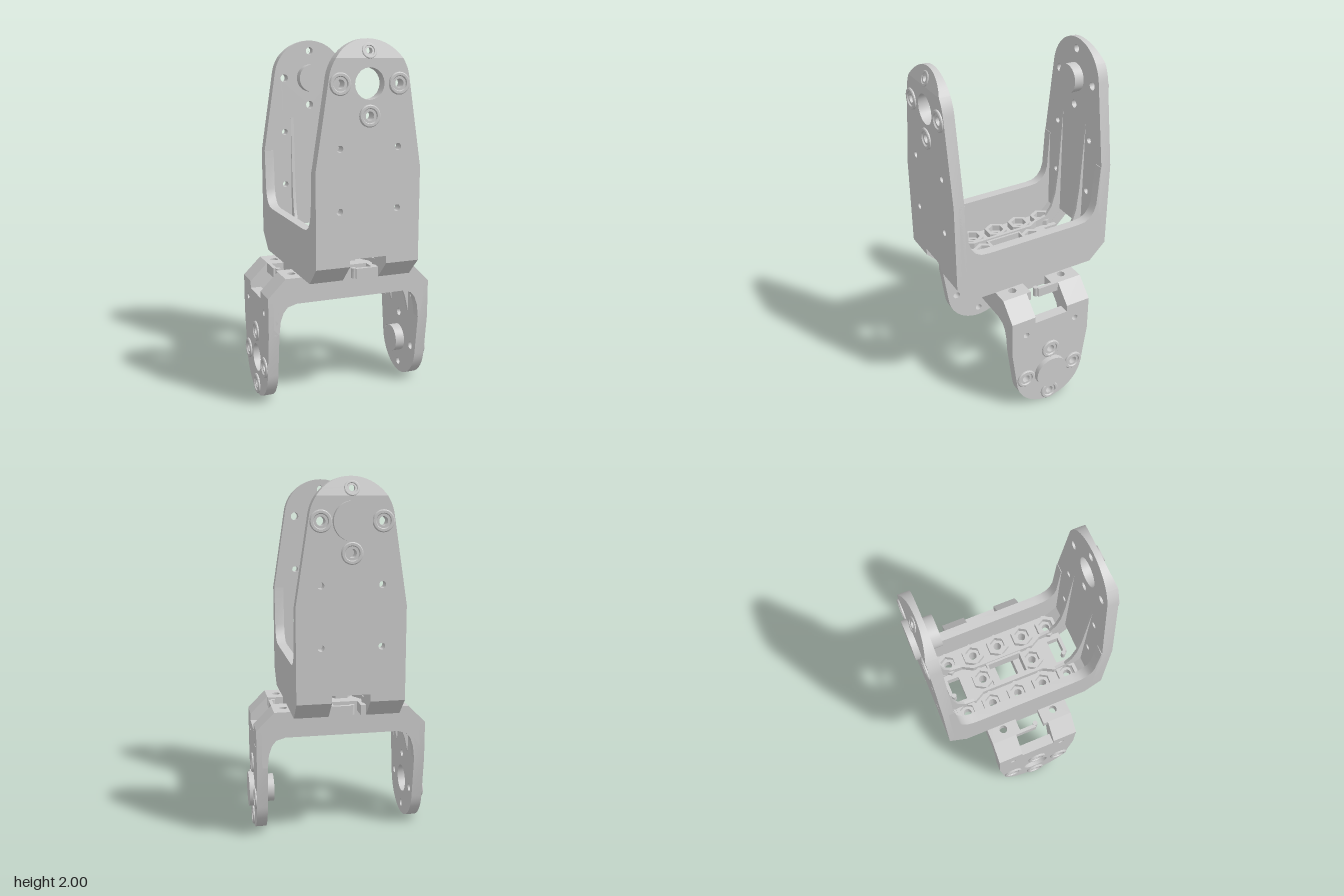
import * as THREE from 'three';
import { toCreasedNormals } from 'three/addons/utils/BufferGeometryUtils.js';

const material = new THREE.MeshStandardMaterial({ color: 0xcccccc });
const NOTCH = 0.1025;   // half width of the cable notch
const R = 0.22;         // radius of the rounded arm end
const OUT = 0.48, IN = 0.42, FLOOR = 0.055, BOSS = 0.09;

function add(group, name, geometry) {
  const mesh = new THREE.Mesh(toCreasedNormals(geometry, 0.5), material);
  mesh.name = name;
  group.add(mesh);
  return mesh;
}
const shapeOf = pts => new THREE.Shape(pts.map(p => new THREE.Vector2(p[0], p[1])));
const extrude = (shape, depth) =>
  new THREE.ExtrudeGeometry(shape, { depth, bevelEnabled: false, curveSegments: 10 });
// Plan shape (x, z) raised from y0 to y1
const slab = (shape, y0, y1) => extrude(shape, y1 - y0).rotateX(Math.PI / 2).translate(0, y1, 0);
// Side profile (z, y) spread from x0 to x1
const across = (pts, x0, x1) => extrude(shapeOf(pts), x1 - x0).rotateY(-Math.PI / 2).translate(x1, 0, 0);

function hole(shape, x, y, r) {
  shape.holes.push(new THREE.Path().absarc(x, y, r, 0, Math.PI * 2, true));
}
function polyHole(shape, pts) {
  shape.holes.push(new THREE.Path(pts.map(p => new THREE.Vector2(p[0], p[1]))));
}
const hexagon = (x, z, r) => Array.from({ length: 6 }, (_, i) =>
  [x + r * Math.cos(i * Math.PI / 3), z + r * Math.sin(i * Math.PI / 3)]);
const rect = (a, b) => [[-a, -b], [a, -b], [a, b], [-a, b]];
const arc = (cy, a0, a1, n) => Array.from({ length: n + 1 }, (_, i) => {
  const a = a0 + (a1 - a0) * i / n;
  return [R * Math.cos(a), cy + R * Math.sin(a)];
});

// U-bracket opening upward, arms at +z and -z, base on y = 0
function bracket(name, { hw, height, straight, rimCurve, ribCurve, slope }) {
  const g = new THREE.Group();
  g.name = name;
  const cy = height - R;

  // Floor plate with a hooked cable slot at each end
  const end = [[hw, 0.38], [-0.025, 0.38], [-0.025, 0.36], [0.07, 0.36],
    [0.07, 0.29], [-0.075, 0.29], [-0.075, 0.38], [-hw, 0.38]];
  const floor = shapeOf([...end, ...end.map(([x, z]) => [x, -z]).reverse()]);
  const bolts = [[0, -0.16], [0, 0.16]];
  for (const x of [-0.16, 0.16]) for (const z of [-0.32, -0.16, 0, 0.16, 0.32]) bolts.push([x, z]);
  bolts.forEach(([x, z]) => hole(floor, x, z, 0.023));
  polyHole(floor, rect(0.058, 0.1));
  add(g, 'floorPlate', slab(floor, 0, FLOOR));

  // Hexagonal nut pockets
  for (const [x, z] of bolts) {
    const ring = shapeOf(hexagon(x, z, 0.068));
    polyHole(ring, hexagon(x, z, 0.045));
    add(g, 'nutPocket', slab(ring, FLOOR, BOSS));
  }
  const frame = shapeOf(rect(0.072, 0.112));
  polyHole(frame, rect(0.058, 0.1));
  add(g, 'windowFrame', slab(frame, FLOOR, BOSS));

  // Side rims following the inside of the U
  const half = [[0.37, 0.02], [0.45, 0.1], [0.45, straight], ...rimCurve];
  const rim = [...half, ...half.map(([z, y]) => [-z, y]).reverse()];
  add(g, 'leftRim', across(rim, hw - 0.055, hw));
  add(g, 'rightRim', across(rim, -hw, -hw + 0.055));

  // Stiffening ribs, bowed along the floor and sweeping up the arms
  for (const s of [-1, 1]) {
    const path = [[0.113, -0.27], [0.113, -0.25], [0.08, -0.19], [0.08, 0.19], [0.113, 0.25], [0.113, 0.27]];
    add(g, 'floorRib', slab(shapeOf([
      ...path.map(([x, z]) => [s * (x - 0.009), z]),
      ...path.map(([x, z]) => [s * (x + 0.009), z]).reverse()]), 0.03, 0.1));
    for (const e of [-1, 1]) {
      const rib = [[0.26, 0.03], [0.38, 0.03], [0.44, 0.1], ...ribCurve, [0.26, 0.1]];
      add(g, 'armRib', across(rib.map(([z, y]) => [e * z, y]), s * 0.113 - 0.009, s * 0.113 + 0.009));
    }
  }

  for (const e of [-1, 1]) {
    // Chamfered corners either side of the cable notch
    const corner = [[0.35, 0], [0.38, 0], [OUT, 0.1], [IN, 0.125], [0.35, FLOOR]].map(([z, y]) => [e * z, y]);
    add(g, 'cornerBlock', across(corner, NOTCH, hw));
    add(g, 'cornerBlock', across(corner, -hw, -NOTCH));
    add(g, 'cableHook', new THREE.CylinderGeometry(0.014, 0.014, FLOOR, 16)
      .translate(-0.03, FLOOR / 2, e * 0.356));

    // Arm, with its tip a separate piece that can slope outward face inward
    const arm = new THREE.Group();
    arm.name = e > 0 ? 'frontArm' : 'backArm';
    arm.rotation.y = e > 0 ? 0 : Math.PI;
    g.add(arm);
    const a0 = Math.atan((hw - R) / (cy - straight)), aTip = Math.asin(0.125 / R);
    const side = arc(cy, a0, aTip, 5);
    const body = shapeOf([[NOTCH, 0.1], [hw, 0.1], [hw, straight], ...side,
      ...side.map(([x, y]) => [-x, y]).reverse(), [-hw, straight], [-hw, 0.1],
      [-NOTCH, 0.1], [-NOTCH, 0.14], [NOTCH, 0.14]]);
    if (e > 0) hole(body, 0, cy, 0.08);
    const screws = [[-0.16, cy], [0.16, cy], [0, cy - 0.16]];
    screws.forEach(([x, y]) => hole(body, x, y, 0.023));
    for (const y of [cy - 0.32, cy - 0.64]) if (y > 0.15)
      for (const x of [-0.16, 0.16]) hole(body, x, y, 0.018);
    add(arm, 'armPlate', extrude(body, OUT - IN).translate(0, 0, IN));

    const cap = shapeOf(arc(cy, aTip, Math.PI - aTip, 24));
    hole(cap, 0, cy + 0.16, 0.022);
    const tip = extrude(cap, OUT - IN).translate(0, 0, IN);
    const p = tip.attributes.position;
    for (let i = 0; i < p.count; i++)
      if (p.getZ(i) > OUT - 0.01) p.setZ(i, OUT - slope * (p.getY(i) - cy - 0.125));
    tip.computeVertexNormals();
    add(arm, 'armTip', tip);

    // Raised screw seats
    const seat = () => new THREE.LatheGeometry([[0.023, 0], [0.023, 0.004], [0.036, 0.004], [0.04, 0.011],
      [0.052, 0.011], [0.057, 0.007], [0.057, -0.004]].map(q => new THREE.Vector2(...q)).reverse(), 28)
      .rotateX(Math.PI / 2);
    screws.forEach(([x, y]) => add(arm, 'screwSeat', seat().translate(x, y, OUT)));
    const top = add(arm, 'screwSeat', seat());
    top.position.set(0, cy + 0.16, OUT - slope * 0.035);
    top.rotation.x = -Math.atan(slope);
    if (slope) top.scale.set(0.7, 0.7, 0.5);

    // Pivot pin on the back arm only
    if (e < 0) {
      add(arm, 'pivotPin', new THREE.CylinderGeometry(0.08, 0.08, 0.08, 40)
        .rotateX(Math.PI / 2).translate(0, cy, 0.405));
      add(arm, 'pivotHead', new THREE.CylinderGeometry(0.1, 0.1, 0.05, 40)
        .rotateX(Math.PI / 2).translate(0, cy, 0.485));
    }
  }
  return g;
}

export function createModel() {
  const model = new THREE.Group();
  model.name = 'doublePivotBracket';

  const upper = bracket('upperBracket', {
    hw: 0.29, height: 1.255, straight: 0.605, slope: 0.32,
    rimCurve: [[0.417, 0.605], [0.403, 0.38], [0.39, 0.335], [0.365, 0.3], [0.33, 0.28], [0.28, 0.275]],
    ribCurve: [[0.44, 0.8], [0.42, 0.8], [0.4, 0.4], [0.385, 0.26], [0.36, 0.17], [0.32, 0.115]],
  });
  upper.position.set(-0.015, 0.745, 0.01);

  const lower = bracket('lowerBracket', {
    hw: 0.25, height: 0.745, straight: 0.315, slope: 0,
    rimCurve: [[0.42, 0.315], [0.412, 0.24], [0.395, 0.19], [0.37, 0.16], [0.32, 0.145]],
    ribCurve: [[0.44, 0.32], [0.42, 0.32], [0.4, 0.23], [0.37, 0.15], [0.33, 0.11]],
  });
  // Turned upside down and a quarter turn, so its arms lie along x
  lower.setRotationFromMatrix(new THREE.Matrix4().makeBasis(
    new THREE.Vector3(0, 0, -1), new THREE.Vector3(0, -1, 0), new THREE.Vector3(-1, 0, 0)));
  lower.position.set(-0.015, 0.745, 0.01);

  model.add(upper, lower);
  return model;
}
